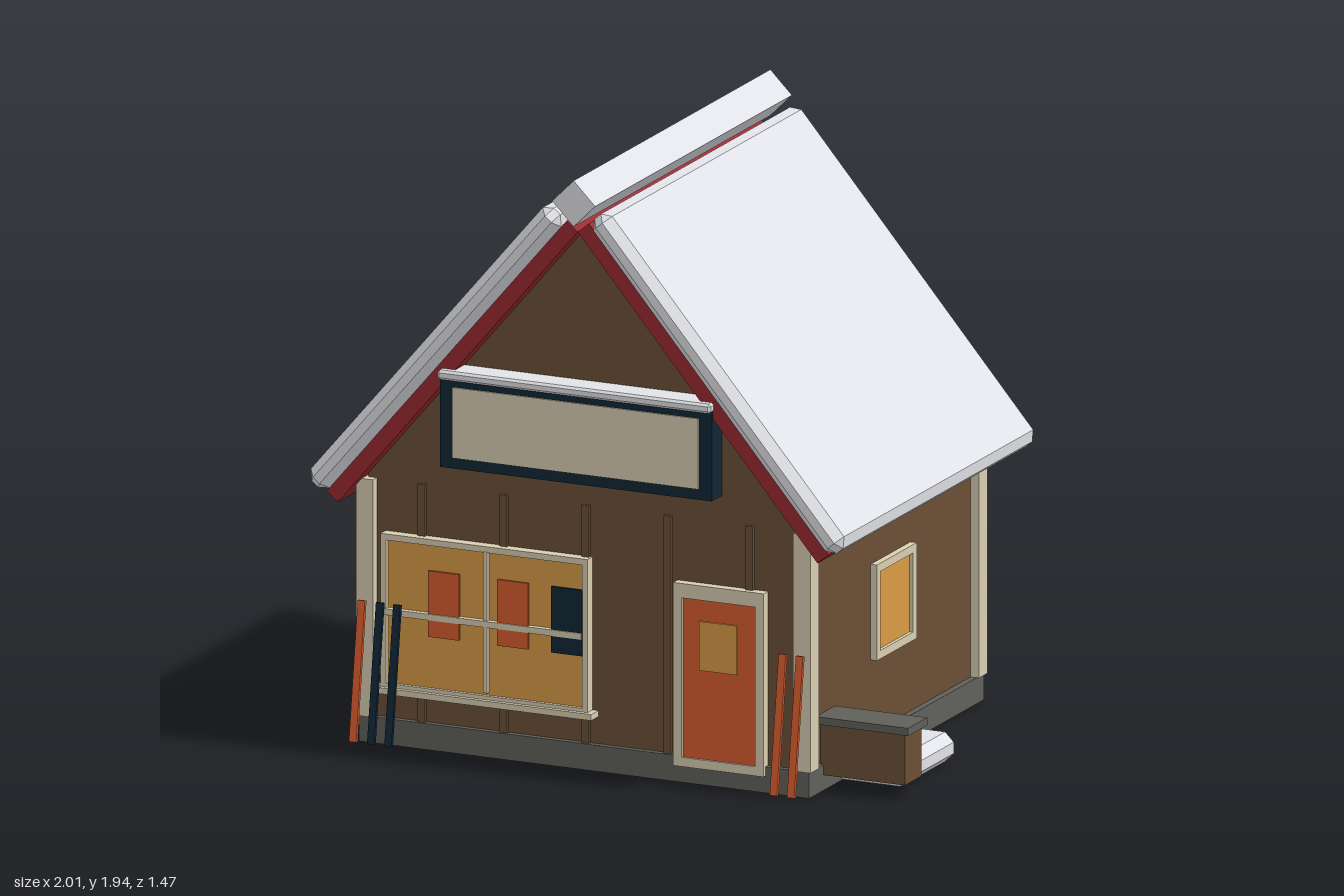
import * as THREE from 'three';
import { ConvexGeometry } from 'three/addons/geometries/ConvexGeometry.js';

const mat = (name, color) => {
  const m = new THREE.MeshStandardMaterial({ color });
  m.name = name;
  return m;
};

export function createModel() {
  const wood = mat('brown wood', 0x6b4e36);
  const trim = mat('cream trim', 0xd9ceb2);
  const red = mat('red roof', 0x9b2a30);
  const snow = mat('snow', 0xe6e7ec);
  const stone = mat('grey stone', 0x60605b);
  const navy = mat('navy', 0x102635);
  const orange = mat('orange paint', 0xd85c2e);
  const glass = mat('amber glass', 0xd99b45);

  const model = new THREE.Group();
  model.name = 'cabin';
  const CX = -0.08, CZ = -0.0125; // centre of the house

  const add = (name, geometry, material, parent = model) => {
    const m = new THREE.Mesh(geometry, material);
    m.name = name;
    parent.add(m);
    return m;
  };
  // Box given by its limits
  const box = (name, material, x0, x1, y0, y1, z0, z1, parent) => {
    const m = add(name, new THREE.BoxGeometry(x1 - x0, y1 - y0, z1 - z0), material, parent);
    m.position.set((x0 + x1) / 2, (y0 + y1) / 2, (z0 + z1) / 2);
    return m;
  };
  // Box with all edges cut off by b
  const chamferBox = (name, material, x0, x1, y0, y1, z0, z1, b, parent) => {
    const h = [(x1 - x0) / 2, (y1 - y0) / 2, (z1 - z0) / 2];
    const points = [];
    for (const sx of [-1, 1]) for (const sy of [-1, 1]) for (const sz of [-1, 1])
      for (let a = 0; a < 3; a++) {
        const c = h.map((v, i) => (i === a ? v : v - b));
        points.push(new THREE.Vector3(sx * c[0], sy * c[1], sz * c[2]));
      }
    const m = add(name, new ConvexGeometry(points), material, parent);
    m.position.set((x0 + x1) / 2, (y0 + y1) / 2, (z0 + z1) / 2);
    return m;
  };
  const rect = (C, x0, x1, y0, y1) => new C([[x0, y0], [x1, y0], [x1, y1], [x0, y1]]
    .map(([x, y]) => new THREE.Vector2(x, y)));
  // Hollow rectangular frame facing +z
  const frame = (name, x0, x1, y0, y1, t, z0, z1, parent) => {
    const s = rect(THREE.Shape, x0, x1, y0, y1);
    s.holes.push(rect(THREE.Path, x0 + t, x1 - t, y0 + t, y1 - t));
    const g = new THREE.ExtrudeGeometry(s, { depth: z1 - z0, bevelEnabled: false });
    add(name, g, trim, parent).position.z = z0;
  };

  // Foundation and gabled walls
  box('foundation', stone, CX - 0.782, CX + 0.782, 0, 0.085, CZ - 0.64, CZ + 0.64);
  const gable = new THREE.Shape([[-0.76, 0.085], [0.76, 0.085], [0.76, 0.873], [0, 1.765], [-0.76, 0.873]]
    .map(([x, y]) => new THREE.Vector2(x, y)));
  add('walls', new THREE.ExtrudeGeometry(gable, { depth: 1.24, bevelEnabled: false }), wood)
    .position.set(CX, 0, CZ - 0.62);

  // Corner posts
  for (const sx of [-1, 1]) for (const sz of [-1, 1]) {
    const x = CX + sx * 0.76, z = CZ + sz * 0.617;
    box('cornerPost', trim, x - 0.03, x + 0.03, 0.085, 0.86, z - 0.031, z + 0.031);
  }

  // Battens on the front wall
  for (let i = -2; i <= 2; i++) {
    const x = CX + i * 0.285;
    box('batten', wood, x - 0.0125, x + 0.0125, 0.085, 0.86, 0.6, 0.62);
  }

  // Roof halves with their snow, hinged at the ridge
  for (const s of [-1, 1]) {
    const half = new THREE.Group();
    half.name = s < 0 ? 'roofRight' : 'roofLeft';
    half.position.set(CX, 1.765, 0);
    half.rotation.z = -s * 0.866;
    model.add(half);
    const span = (a, b) => (s > 0 ? [a, b] : [-b, -a]);
    box('roofBoard', red, ...span(0, 1.287), 0, 0.05, -0.705, 0.675, half);
    chamferBox('roofSnow', snow, ...span(0, 1.3), 0.05, 0.135, -0.735, 0.705, 0.028, half);
  }
  const ridge = box('ridgeSnow', snow, -0.053, 0.053, -0.053, 0.053, -0.735, 0.705);
  ridge.position.set(CX, 1.865, -0.015);
  ridge.rotation.z = Math.PI / 4;

  // Blank sign board with a snow cap
  box('signBoard', navy, -0.555, 0.39, 0.945, 1.235, 0.6, 0.683);
  box('signPanel', trim, -0.51, 0.345, 0.98, 1.21, 0.68, 0.688);
  chamferBox('signSnow', snow, -0.558, 0.393, 1.233, 1.265, 0.6, 0.702, 0.008);

  // Shop window
  box('shopGlass', glass, -0.77, -0.065, 0.195, 0.68, 0.6, 0.632);
  frame('shopFrame', -0.78, -0.06, 0.185, 0.692, 0.02, 0.6, 0.645);
  box('shopMullion', trim, -0.422, -0.408, 0.215, 0.675, 0.63, 0.648);
  box('shopBar', trim, -0.765, -0.08, 0.43, 0.45, 0.63, 0.652);
  box('shopSill', trim, -0.8, -0.04, 0.173, 0.193, 0.6, 0.66);
  [[-0.56, orange], [-0.32, orange], [-0.132, navy]].forEach(([x, m]) =>
    box('poster', m, x - 0.054, x + 0.054, 0.375, 0.59, 0.639, 0.648));

  // Door
  frame('doorFrame', 0.235, 0.55, 0.055, 0.652, 0.03, 0.6, 0.64);
  box('doorHead', trim, 0.26, 0.525, 0.605, 0.63, 0.6, 0.64);
  box('door', orange, 0.264, 0.517, 0.085, 0.607, 0.6, 0.632);
  box('doorGlass', glass, 0.325, 0.455, 0.375, 0.535, 0.631, 0.638);

  // Side windows
  for (const s of [-1, 1]) {
    const win = new THREE.Group();
    win.name = s > 0 ? 'windowLeft' : 'windowRight';
    win.position.set(CX + s * 0.76, 0.48, -0.015);
    win.rotation.y = s * Math.PI / 2;
    model.add(win);
    frame('windowFrame', -0.146, 0.146, -0.156, 0.156, 0.027, -0.01, 0.022, win);
    box('windowGlass', glass, -0.125, 0.125, -0.135, 0.135, -0.01, 0.01, win);
  }

  // Skis leaning against the front
  [[-0.833, orange], [-0.77, navy], [-0.71, navy], [0.63, orange], [0.69, orange]].forEach(([x, m]) => {
    const ski = box('ski', m, -0.0125, 0.0125, -0.225, 0.225, -0.006, 0.006);
    ski.position.set(x, 0.25, 0.7);
    ski.rotation.x = -0.145;
  });

  // Storage bin and snow drift on the left side
  box('bin', wood, 0.69, 0.985, 0.05, 0.215, 0.4, 0.522);
  box('binLid', stone, 0.68, 1.0, 0.215, 0.24, 0.39, 0.53);
  chamferBox('snowDrift', snow, 0.55, 0.937, 0.003, 0.1, 0.033, 0.418, 0.03);

  return model;
}
